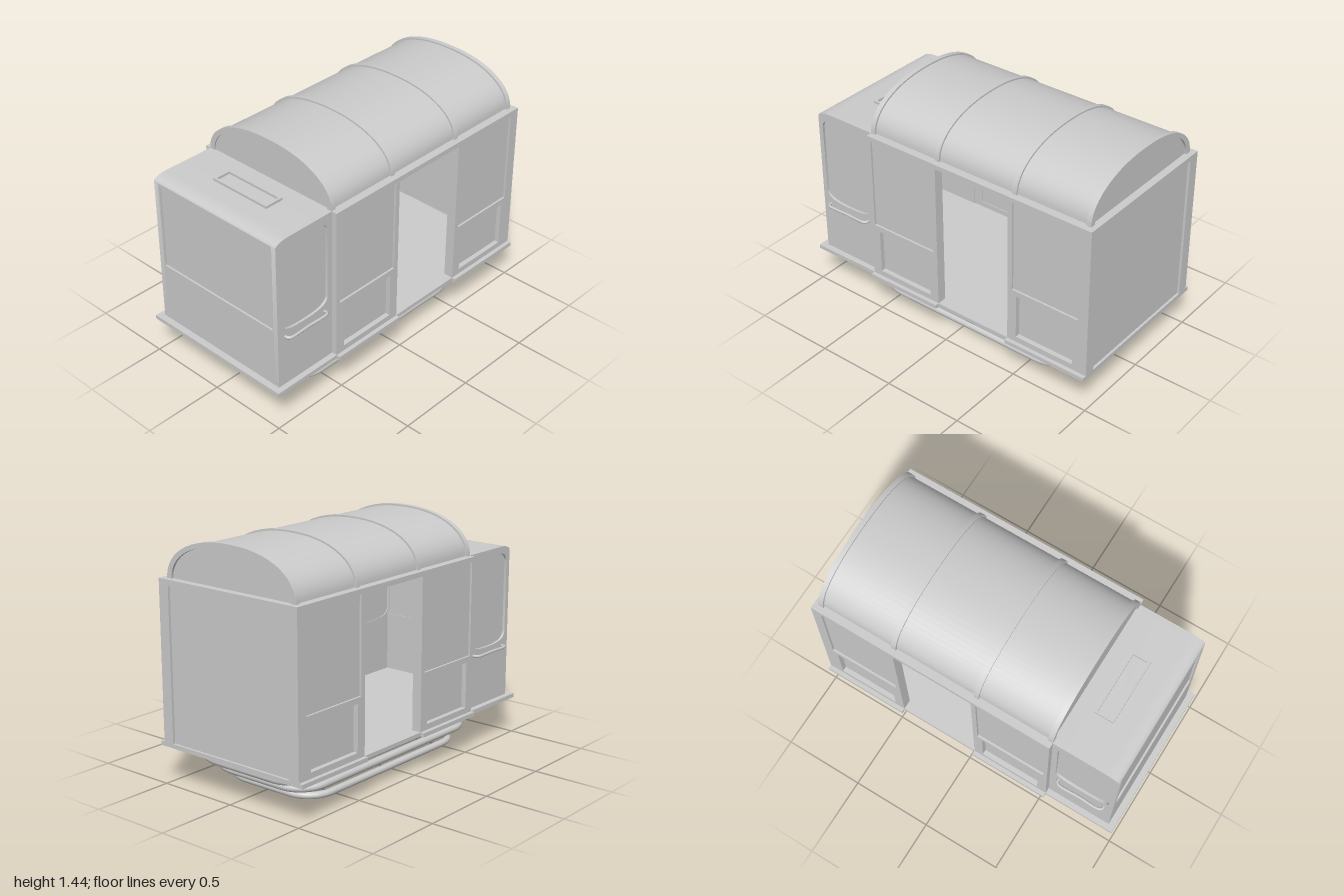
import * as THREE from 'three';
import { toCreasedNormals } from 'three/addons/utils/BufferGeometryUtils.js';

const material = new THREE.MeshStandardMaterial({ color: 0xcccccc, side: THREE.DoubleSide });

export function createModel() {
  const model = new THREE.Group();

  const add = (name, geometry) => {
    const mesh = new THREE.Mesh(geometry, material);
    mesh.name = name;
    model.add(mesh);
    return mesh;
  };

  // Box given by its limits on each axis
  const box = (name, x0, x1, y0, y1, z0, z1) => {
    const mesh = add(name, new THREE.BoxGeometry(x1 - x0, y1 - y0, z1 - z0));
    mesh.position.set((x0 + x1) / 2, (y0 + y1) / 2, (z0 + z1) / 2);
    return mesh;
  };

  const rect = (x0, x1, y0, y1) => new THREE.Shape([
    new THREE.Vector2(x0, y0), new THREE.Vector2(x1, y0),
    new THREE.Vector2(x1, y1), new THREE.Vector2(x0, y1)]);

  const extrude = (shape, depth, holes = []) => {
    shape.holes.push(...holes);
    return toCreasedNormals(new THREE.ExtrudeGeometry(shape,
      { depth, bevelEnabled: false, curveSegments: 12 }), 0.5);
  };

  // Plate in the side plane, from z0 to z1
  const sidePlate = (name, shape, z0, z1, holes) => {
    const mesh = add(name, extrude(shape, z1 - z0, holes));
    mesh.position.z = z0;
    return mesh;
  };

  // Plate across the body, from x0 to x1 (shape drawn in z and y)
  const crossPlate = (name, shape, x0, x1, holes) => {
    const mesh = add(name, extrude(shape, x1 - x0, holes));
    mesh.rotation.y = Math.PI / 2;
    mesh.position.x = x0;
    return mesh;
  };

  // Floor plate
  box('floor', -1, 1, 0.225, 0.25, -0.505, 0.505);

  // Side walls: framed bays beside an open doorway, on both sides
  const bays = [[-0.545, -0.045, -0.52, -0.075, -0.485, -0.105],
    [0.46, 0.96, 0.49, 0.935, 0.52, 0.905]];
  for (const s of [-1, 1]) {
    const span = (a, b) => (s > 0 ? [a, b] : [-b, -a]);
    for (const [x0, x1, u0, u1, l0, l1] of bays) {
      sidePlate('sideWallFrame', rect(x0, x1, 0.25, 1.195), ...span(0.445, 0.505),
        [rect(u0, u1, 0.6, 1.165), rect(l0, l1, 0.285, 0.565)]);
      box('upperSidePanel', u0, u1, 0.6, 1.165, ...span(0.455, 0.492));
      box('lowerSidePanel', l0, l1, 0.285, 0.565, ...span(0.45, 0.475));
      box('sill', x0, x1 > 0.9 ? 1 : x1, 0.225, 0.25, ...span(0.505, 0.53));
    }
    box('doorHeader', -0.045, 0.46, 1.165, 1.195, ...span(0.445, 0.505));
  }

  // Closed end wall with a recessed panel
  crossPlate('endWallFrame', rect(-0.505, 0.505, 0.25, 1.195), 0.96, 1,
    [rect(-0.435, 0.435, 0.251, 1.16)]);
  box('endWallPanel', 0.965, 0.985, 0.25, 1.16, -0.435, 0.435);

  // Arched roof: skin, ribs and end panels
  const arch = (a, b) => Array.from({ length: 37 }, (_, i) => {
    const t = (Math.PI * i) / 36, c = Math.cos(t);
    return new THREE.Vector2(a * Math.sign(c) * Math.abs(c) ** 0.91,
      1.19 + b * Math.max(0, Math.sin(t)) ** 0.91);
  });
  const archBand = (a, b, a2, b2) =>
    new THREE.Shape([...arch(a, b), ...arch(a2, b2).reverse()]);
  crossPlate('roofSkin', archBand(0.457, 0.243, 0.437, 0.229), -0.54, 0.965);
  for (const x of [-0.53, -0.06, 0.475, 0.955]) {
    crossPlate('roofRib', archBand(0.47, 0.253, 0.436, 0.228), x - 0.015, x + 0.015);
  }
  for (const x of [-0.53, 0.95]) {
    crossPlate('roofEndPanel', new THREE.Shape(arch(0.445, 0.235)), x - 0.006, x + 0.006);
  }
  // Ledge beams that carry the roof ends
  box('roofEndBeam', -0.545, -0.515, 1.165, 1.195, -0.445, 0.445);
  box('roofEndBeam', 0.935, 0.96, 1.165, 1.195, -0.445, 0.445);

  // Cab sides: rounded upper corner and a bowed window
  const cabSide = () => {
    const p = new THREE.Shape();
    p.moveTo(-0.96, 0.25);
    p.lineTo(-0.545, 0.25);
    p.lineTo(-0.545, 1.195);
    p.lineTo(-0.88, 1.195);
    p.quadraticCurveTo(-0.95, 1.19, -0.96, 1.165);
    p.closePath();
    return p;
  };
  const cabWindow = () => {
    const p = new THREE.Shape();
    p.moveTo(-0.93, 0.66);
    p.bezierCurveTo(-0.925, 0.61, -0.86, 0.6, -0.755, 0.6);
    p.bezierCurveTo(-0.65, 0.6, -0.585, 0.61, -0.58, 0.66);
    p.lineTo(-0.58, 1.1);
    p.bezierCurveTo(-0.585, 1.15, -0.65, 1.165, -0.755, 1.165);
    p.bezierCurveTo(-0.86, 1.165, -0.925, 1.15, -0.93, 1.1);
    p.closePath();
    return p;
  };
  for (const s of [-1, 1]) {
    sidePlate('cabSide', cabSide(), s > 0 ? 0.44 : -0.47, s > 0 ? 0.47 : -0.44, [cabWindow()]);
    sidePlate('cabSideWindow', cabWindow(), s > 0 ? 0.445 : -0.455, s > 0 ? 0.455 : -0.445);

    // Grab handle below the window
    const path = new THREE.CatmullRomCurve3([[-0.905, 0.46], [-0.905, 0.487], [-0.89, 0.499],
      [-0.755, 0.499], [-0.62, 0.499], [-0.605, 0.487], [-0.605, 0.46]]
      .map(([x, z]) => new THREE.Vector3(x, 0.573, s * z)), false, 'centripetal');
    add('grabHandle', new THREE.TubeGeometry(path, 40, 0.009, 8));
  }

  // Cab nose with a recessed windscreen
  crossPlate('cabNose', rect(-0.44, 0.44, 0.25, 1.165), -0.96, -0.93,
    [rect(-0.43, 0.43, 0.62, 1.14)]);
  box('windscreen', -0.948, -0.935, 0.62, 1.14, -0.43, 0.43);

  // Cab roof, curving down to the nose
  const cabRoof = new THREE.Shape();
  cabRoof.moveTo(-0.96, 1.165);
  cabRoof.quadraticCurveTo(-0.95, 1.19, -0.88, 1.195);
  cabRoof.lineTo(-0.545, 1.195);
  cabRoof.lineTo(-0.545, 1.165);
  cabRoof.closePath();
  sidePlate('cabRoof', cabRoof, -0.44, 0.44);

  // Raised rim of the roof hatch
  const hatch = add('roofHatchRim', extrude(rect(-0.765, -0.645, -0.205, 0.205), 0.02,
    [rect(-0.75, -0.66, -0.19, 0.19)]));
  hatch.rotation.x = -Math.PI / 2;
  hatch.position.y = 1.19;

  // Three rounded rings below the floor, shrinking downward
  const ring = (x0, x1, halfZ, y, r) => {
    const a = x0 + r, b = x1 - r, h = halfZ - r, c = 0.16, points = [];
    [[b - c, h - c], [a + c, h - c], [a + c, c - h], [b - c, c - h]].forEach(([cx, cz], k) => {
      for (let i = 0; i <= 8; i++) {
        const t = (k + i / 8) * Math.PI / 2;
        points.push(new THREE.Vector3(cx + c * Math.cos(t), y, cz + c * Math.sin(t)));
      }
    });
    const path = new THREE.CurvePath();
    points.forEach((p, i) =>
      path.add(new THREE.LineCurve3(p, points[(i + 1) % points.length])));
    add('hoverRing', new THREE.TubeGeometry(path, 200, r, 12, true));
  };
  ring(-0.857, 0.91, 0.4, 0.173, 0.025);
  ring(-0.77, 0.815, 0.375, 0.098, 0.023);
  ring(-0.683, 0.72, 0.35, 0.022, 0.021);

  return model;
}
